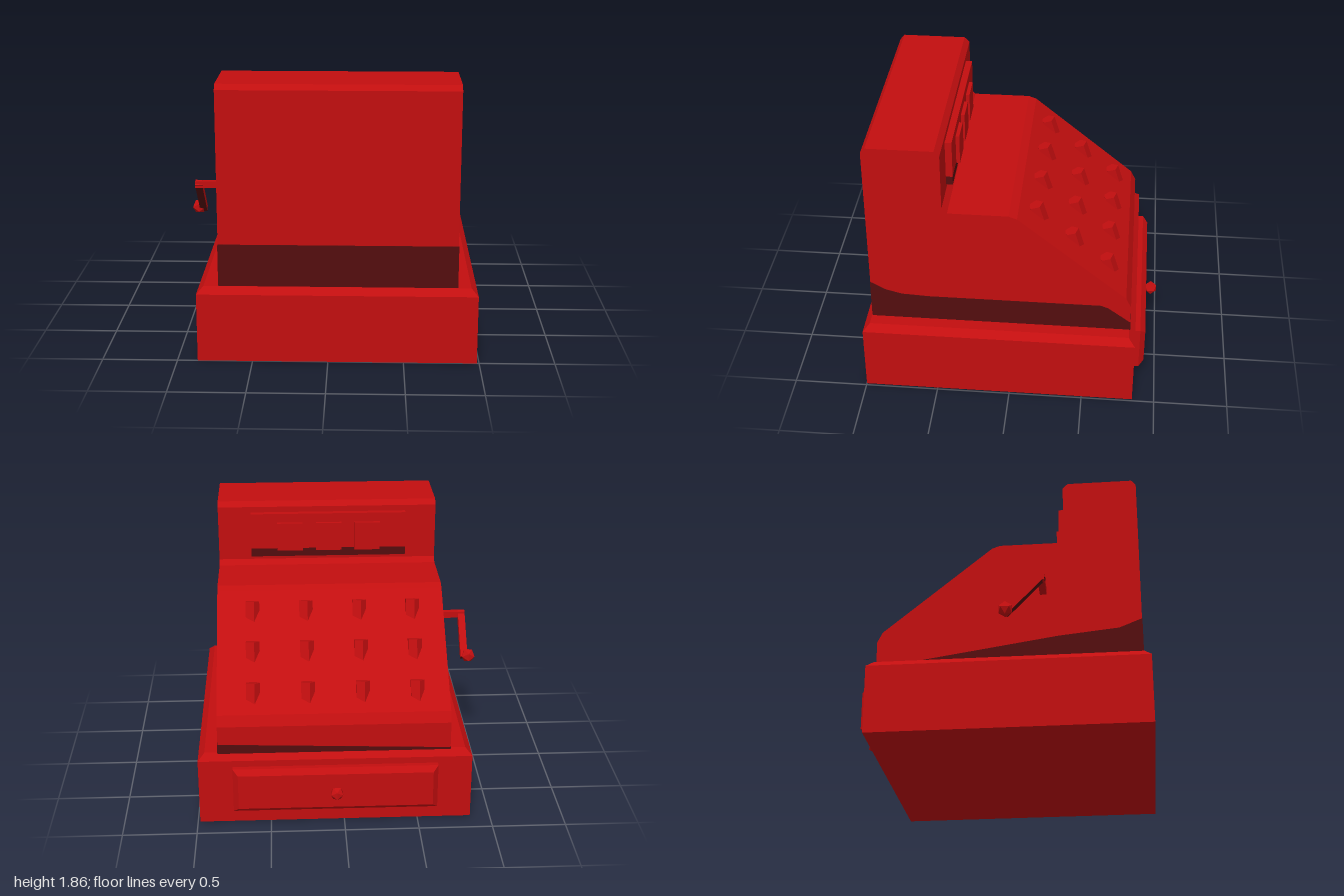
import * as THREE from 'three';

const red = new THREE.MeshStandardMaterial({ color: 0xc20e0f });
red.name = 'red enamel';
const dark = new THREE.MeshStandardMaterial({ color: 0x530d0e });
dark.name = 'dark maroon';

const LEFT = 0.85, RIGHT = -0.72;   // side walls of the body
const BACK = -0.81, FRONT = 0.95;   // end walls of the body

function add(parent, name, geometry, material, x = 0, y = 0, z = 0) {
  const mesh = new THREE.Mesh(geometry, material);
  mesh.name = name;
  mesh.position.set(x, y, z);
  parent.add(mesh);
  return mesh;
}

// Extrudes an outline of [z, y] points along x, from x0 to x1
function sideExtrude(points, x0, x1) {
  const shape = new THREE.Shape(points.map(([z, y]) => new THREE.Vector2(z, y)));
  const geo = new THREE.ExtrudeGeometry(shape, { depth: x1 - x0, bevelEnabled: false });
  return geo.rotateY(-Math.PI / 2).translate(x1, 0, 0);
}

// Box standing on y = 0 whose top edges are chamfered
function chamferBox(w, h, d, c) {
  const geo = new THREE.BoxGeometry(w, h, d, 1, 2, 1).translate(0, h / 2, 0);
  const p = geo.attributes.position;
  for (let i = 0; i < p.count; i++) {
    const y = p.getY(i);
    if (y > h * 0.9) {
      p.setX(i, p.getX(i) - Math.sign(p.getX(i)) * c);
      p.setZ(i, p.getZ(i) - Math.sign(p.getZ(i)) * c);
    } else if (y > h * 0.1) p.setY(i, h - c);
  }
  const flat = geo.toNonIndexed();
  flat.computeVertexNormals();
  return flat;
}

export function createModel() {
  const model = new THREE.Group();
  model.name = 'cashRegister';

  // Base with its drawer front and knob
  add(model, 'base', chamferBox(1.85, 0.51, 1.85, 0.045), red, 0.06, 0, 0.075);
  const drawer = chamferBox(1.385, 0.07, 0.32, 0.035).rotateX(-Math.PI / 2);
  add(model, 'drawerFront', drawer, red, 0.06, 0.26, -0.85);
  const stem = new THREE.CylinderGeometry(0.02, 0.02, 0.05, 6).rotateX(Math.PI / 2);
  add(model, 'drawerKnobStem', stem, red, 0.055, 0.26, -0.93);
  add(model, 'drawerKnob', new THREE.IcosahedronGeometry(0.048, 0), red, 0.055, 0.26, -0.957);

  // Body: tall housing, shelf and sloping keyboard
  const profile = [
    [FRONT, 0.5], [FRONT, 1.82], [0.92, 1.855], [0.48, 1.855], [0.445, 1.82],
    [0.445, 1.425], [0.41, 1.39], [0.01, 1.39], [-0.045, 1.37],
    [-0.775, 0.77], [BACK, 0.7], [BACK, 0.5],
  ];
  add(model, 'body', sideExtrude(profile, RIGHT, LEFT), red);

  // Dark band around the foot of the body, as thin plates
  const t = 0.003;
  const leftBand = [
    [FRONT, 0.5], [FRONT, 0.795], [0.92, 0.78], [0.85, 0.74], [0.74, 0.71], [0.55, 0.7],
    [-0.61, 0.7], [-0.66, 0.68], [BACK, 0.57], [BACK, 0.5],
  ];
  add(model, 'leftBand', sideExtrude(leftBand, LEFT - t, LEFT + t), dark);
  const rightBand = [[FRONT, 0.5], [FRONT, 0.79], [0.8, 0.73], [0.4, 0.69], [BACK, 0.51], [BACK, 0.5]];
  add(model, 'rightBand', sideExtrude(rightBand, RIGHT - t, RIGHT + t), dark);
  const frontBand = new THREE.BoxGeometry(LEFT - RIGHT, 0.295, 2 * t);
  add(model, 'frontBand', frontBand, dark, (LEFT + RIGHT) / 2, 0.6475, FRONT);
  const sliver = new THREE.Shape([
    new THREE.Vector2(RIGHT, 0.5), new THREE.Vector2(LEFT, 0.5),
    new THREE.Vector2(LEFT, 0.57), new THREE.Vector2(RIGHT, 0.515),
  ]);
  const sliverGeo = new THREE.ExtrudeGeometry(sliver, { depth: 2 * t, bevelEnabled: false });
  add(model, 'keyboardBand', sliverGeo, dark, 0, 0, BACK - t);

  // Price display with three windows
  const display = new THREE.Group();
  display.name = 'display';
  model.add(display);
  add(display, 'displayPanel', new THREE.BoxGeometry(1.115, 0.26, 0.05), red, 0.0575, 1.65, 0.425);
  add(display, 'displayPanelFoot', new THREE.BoxGeometry(1.115, 0.06, 0.05), dark, 0.0575, 1.49, 0.425);
  for (const x of [-0.222, 0.055, 0.335]) {
    add(display, 'displayWindow', new THREE.BoxGeometry(0.185, 0.205, 0.04), red, x, 1.6125, 0.395);
  }

  // Five-sided keys in three rows of four
  const keys = new THREE.Group();
  keys.name = 'keys';
  model.add(keys);
  const keyGeo = new THREE.CylinderGeometry(0.052, 0.052, 0.2, 5).toNonIndexed();
  keyGeo.computeVertexNormals();
  keyGeo.translate(0, -0.1, 0);
  for (let row = 0; row < 3; row++) {
    for (let col = 0; col < 4; col++) {
      const key = add(keys, 'key', keyGeo, red,
        -0.5 + col * 0.37, 1.33 - row * 0.197, -0.147 - row * 0.24);
      key.rotation.set(0.3, Math.PI + 0.3, 0);
    }
  }

  // Crank on the right side
  const crank = new THREE.Group();
  crank.name = 'crank';
  model.add(crank);
  add(crank, 'crankShaft', new THREE.BoxGeometry(0.23, 0.045, 0.045), red, -0.825, 1.022, 0.302);
  const armGeo = new THREE.BoxGeometry(0.05, 0.36, 0.045);
  const arm = add(crank, 'crankArm', armGeo, [red, red, red, dark, dark, red], -0.915, 0.905, 0.19);
  arm.rotation.x = 0.765;
  add(crank, 'crankKnob', new THREE.IcosahedronGeometry(0.053, 0), red, -0.945, 0.79, 0.07);

  return model;
}
